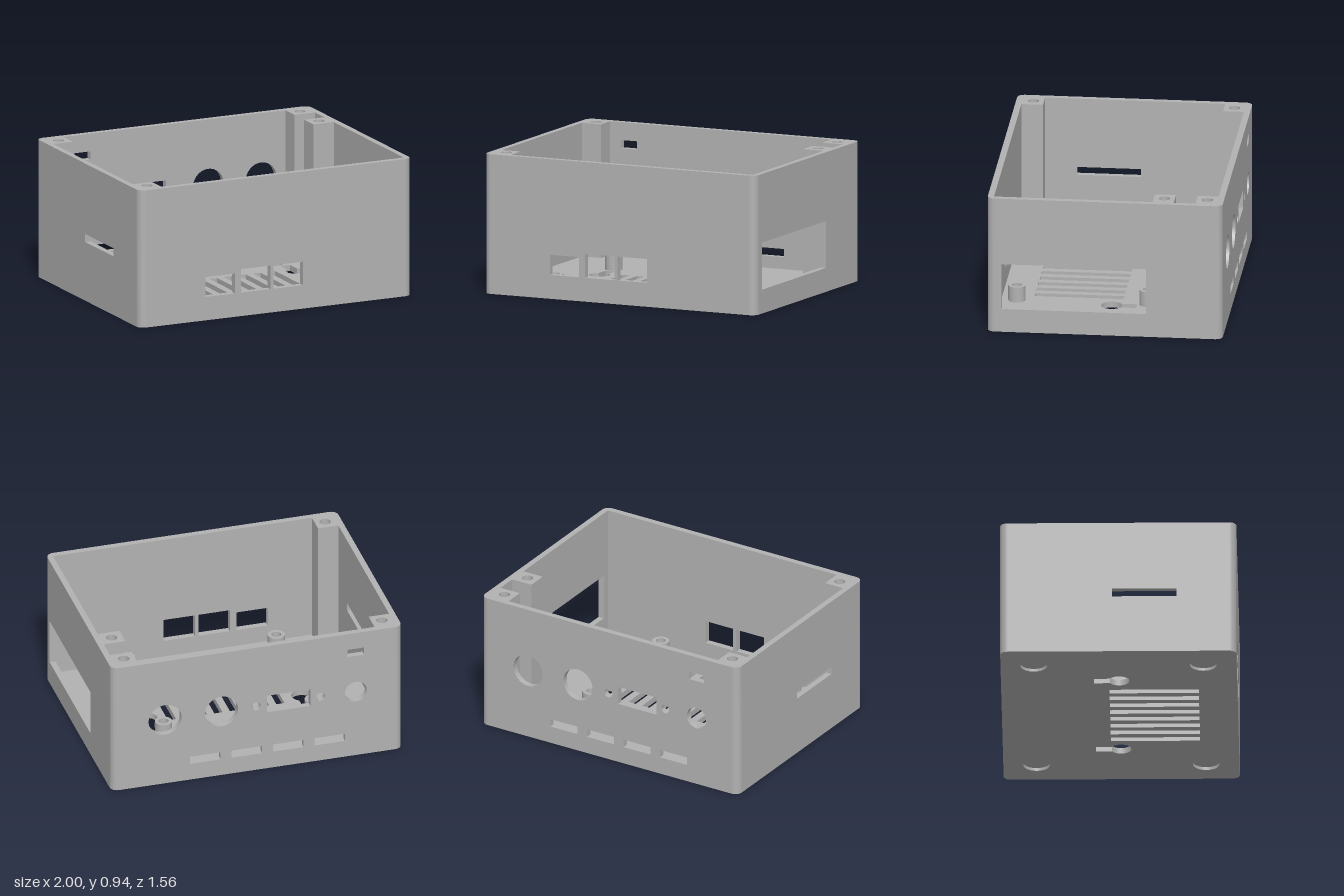
import * as THREE from 'three';
import { toCreasedNormals } from 'three/addons/utils/BufferGeometryUtils.js';

const H = 0.935;            // overall height
const W = 1, D = 0.78;      // outer half width and half depth
const IW = 0.96, ID = 0.738; // inner half width and half depth
const R = 0.05;             // outer corner radius
const FLOOR = 0.04;

// outlines, usable both as shapes and as holes
function rect(x0, x1, y0, y1, Type = THREE.Path) {
  const p = new Type();
  p.moveTo(x0, y0);
  p.lineTo(x1, y0);
  p.lineTo(x1, y1);
  p.lineTo(x0, y1);
  p.closePath();
  return p;
}

function circle(x, y, r, Type = THREE.Path) {
  const p = new Type();
  p.absarc(x, y, r, 0, Math.PI * 2, false);
  return p;
}

function keyhole(x) {
  const p = new THREE.Path();
  p.moveTo(x - 0.035, -0.165);
  p.lineTo(x + 0.035, -0.165);
  p.absarc(x, 0, 0.07, -Math.PI / 3, Math.PI * 4 / 3, false);
  p.closePath();
  return p;
}

export function createModel() {
  const model = new THREE.Group();
  model.name = 'enclosure';
  const grey = new THREE.MeshStandardMaterial({ color: 0xb2b2b2 });
  grey.name = 'grey plastic';

  function extrude(name, shape, holes, depth) {
    shape.holes.push(...holes);
    const geo = new THREE.ExtrudeGeometry(shape, { depth, bevelEnabled: false, curveSegments: 24 });
    const mesh = new THREE.Mesh(toCreasedNormals(geo, 0.6), grey);
    mesh.name = name;
    model.add(mesh);
    return mesh;
  }

  // plan shape in (x, z), filling from y0 up to y1
  function slab(name, shape, holes, y0, y1) {
    const mesh = extrude(name, shape, holes, y1 - y0);
    mesh.rotation.x = Math.PI / 2;
    mesh.position.y = y1;
    return mesh;
  }

  // front wall with three port openings
  extrude('frontWall', rect(R - W, W - R, 0, H, THREE.Shape), [
    rect(-0.515, -0.3, 0.16, 0.295),
    rect(-0.255, -0.04, 0.16, 0.32),
    rect(-0.015, 0.2, 0.16, 0.32),
  ], D - ID).position.z = ID;

  // back wall with round sockets, a connector opening and a row of slots
  const backHoles = [
    circle(0.633, 0.486, 0.113),
    circle(0.245, 0.486, 0.113),
    circle(0.006, 0.486, 0.03),
    circle(-0.436, 0.486, 0.03),
    circle(-0.679, 0.486, 0.075),
    rect(-0.366, -0.068, 0.428, 0.555),
    rect(-0.737, -0.621, 0.76, 0.815),
  ];
  for (let i = 0; i < 4; i++) {
    const x = -0.605 + i * 0.285;
    backHoles.push(rect(x, x + 0.21, 0.12, 0.175));
  }
  extrude('backWall', rect(R - W, W - R, 0, H, THREE.Shape), backHoles, D - ID).position.z = -D;

  // side walls: large window on +x, thin slot on -x
  const sides = [
    ['leftWall', W, rect(-0.275, 0.685, 0.16, 0.475)],
    ['rightWall', -IW, rect(-0.04, 0.385, 0.4, 0.455)],
  ];
  for (const [name, x, hole] of sides) {
    const wall = extrude(name, rect(R - D, D - R, 0, H, THREE.Shape), [hole], W - IW);
    wall.rotation.y = -Math.PI / 2;
    wall.position.x = x;
  }

  // rounded vertical corners, notched to keep the cavity square
  for (const sx of [-1, 1]) {
    for (const sz of [-1, 1]) {
      const nx = IW - (W - R), nz = ID - (D - R);
      const P = (a, b) => [sx * (W - R + a), sz * (D - R + b)];
      const s = new THREE.Shape();
      s.moveTo(...P(R, 0));
      for (let i = 1; i <= 10; i++) {
        const t = (i / 10) * Math.PI / 2;
        s.lineTo(...P(R * Math.cos(t), R * Math.sin(t)));
      }
      s.lineTo(...P(0, nz));
      s.lineTo(...P(nx, nz));
      s.lineTo(...P(nx, 0));
      s.closePath();
      slab('corner', s, [], 0, H);
    }
  }

  // floor: vents and keyholes go through, foot recesses only in the lower layer
  const floorHoles = () => {
    const holes = [keyhole(-0.535), keyhole(0.53)];
    for (let i = 0; i < 8; i++) {
      const x = -0.397 + i * 0.1065;
      holes.push(rect(x, x + 0.056, -0.065, 0.525));
    }
    return holes;
  };
  const feet = [];
  for (const x of [-0.775, 0.775]) {
    for (const z of [-0.56, 0.56]) feet.push(circle(x, z, 0.088));
  }
  const plan = () => rect(-IW, IW, -ID, ID, THREE.Shape);
  slab('floorUnderside', plan(), [...floorHoles(), ...feet], 0, FLOOR / 2);
  slab('floor', plan(), floorHoles(), FLOOR / 2, FLOOR);

  // screw posts: solid below, blind hole at the top
  const posts = [
    [-IW, -0.82, -ID, -0.6, -0.89, -0.67],
    [0.81, IW, -ID, -0.6, 0.885, -0.67],
    [0.81, IW, -0.455, -0.315, 0.885, -0.385],
    [-IW, -0.82, 0.595, ID, -0.89, 0.665],
  ];
  for (const [x0, x1, z0, z1, hx, hz] of posts) {
    slab('postBase', rect(x0, x1, z0, z1, THREE.Shape), [], FLOOR, H - 0.3);
    slab('postTop', rect(x0, x1, z0, z1, THREE.Shape), [circle(hx, hz, 0.037)], H - 0.3, H);
  }

  // hollow board standoffs
  for (const x of [-0.545, 0.485]) {
    for (const z of [-0.235, 0.635]) {
      slab('standoff', circle(x, z, 0.057, THREE.Shape), [circle(x, z, 0.033)], FLOOR, 0.145);
    }
  }

  return model;
}
